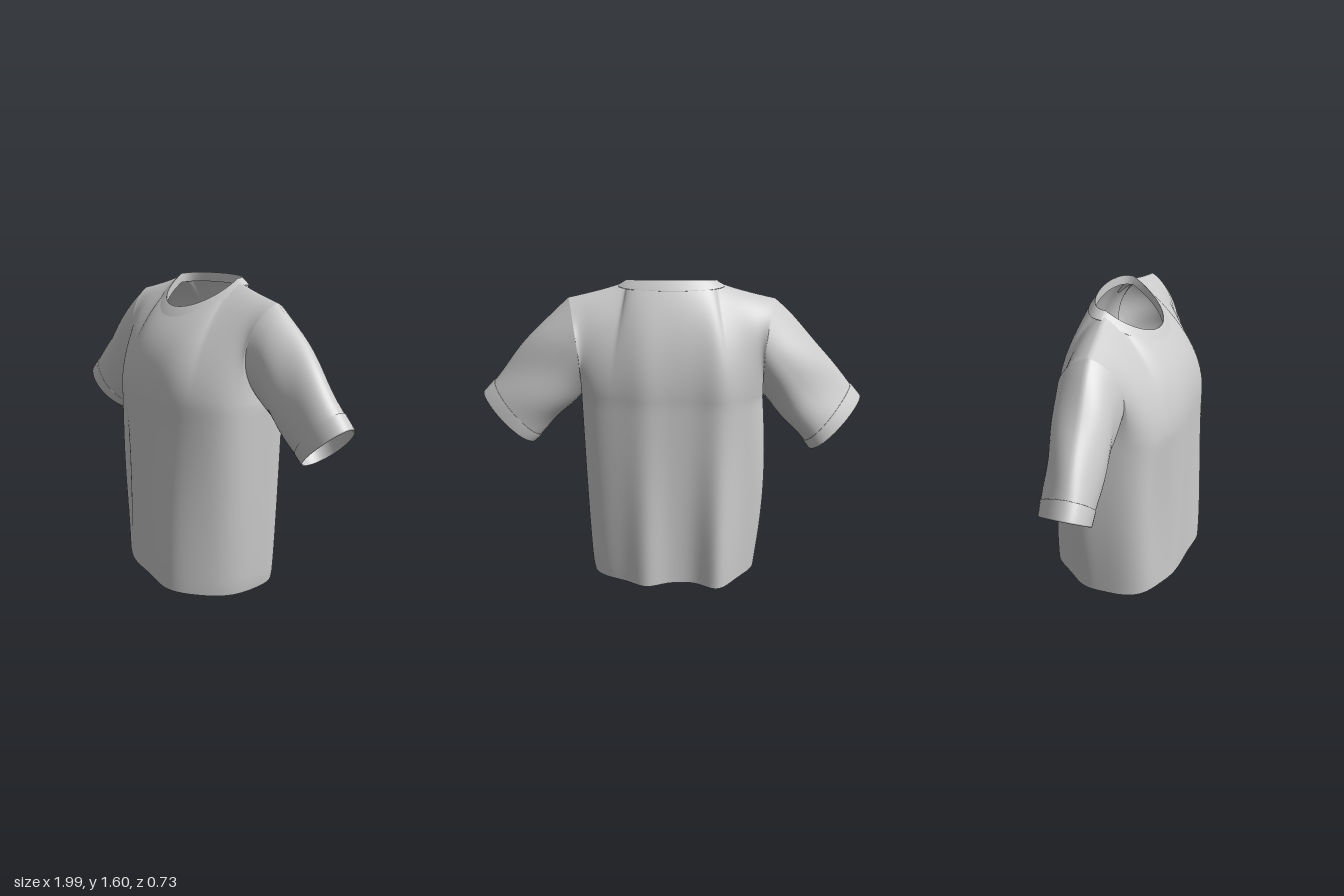
import * as THREE from 'three';
import { mergeGeometries, mergeVertices } from 'three/addons/utils/BufferGeometryUtils.js';

const { lerp, smoothstep } = THREE.MathUtils;
const V = (x, y, z) => new THREE.Vector3(x, y, z);
const bump = (x, centre, width) => Math.exp(-(((x - centre) / width) ** 2));
const CHEST = 1.0;  // height of the underarm
const NECK = 0.43;  // share of a panel's top edge taken by the neckline

// Surface from a rule fn(u, v); its outside is du x dv
function grid(fn, nu, nv) {
  const pos = [], idx = [];
  for (let j = 0; j <= nv; j++)
    for (let i = 0; i <= nu; i++) pos.push(...fn(i / nu, j / nv).toArray());
  for (let j = 0; j < nv; j++)
    for (let i = 0; i < nu; i++) {
      const a = j * (nu + 1) + i, d = a + nu + 1;
      idx.push(a, a + 1, d + 1, a, d + 1, d);
    }
  const g = new THREE.BufferGeometry();
  g.setAttribute('position', new THREE.Float32BufferAttribute(pos, 3));
  g.setIndex(idx);
  return g;
}

// Joins grids along shared edges and smooths them
function cloth(name, ...grids) {
  const g = mergeVertices(mergeGeometries(grids), 1e-4);
  g.computeVertexNormals();
  const m = new THREE.Mesh(g, new THREE.MeshStandardMaterial({ color: 0xcccccc, side: THREE.DoubleSide }));
  m.name = name;
  return m;
}

// Neckline: a = 0 at the middle, +-PI/2 at the shoulders; dir 1 front, -1 back
function neckline(a, dir) {
  const c = Math.max(Math.cos(a), 0), x = 0.22 * Math.sin(a);
  return dir > 0 ? V(x, 1.45 + 0.14 * (1 - c), -0.06 + 0.21 * c)
                 : V(x, 1.59 + 0.01 * c, -0.06 - 0.095 * c ** 0.8);
}

// Top edge of a panel: neckline, then shoulder seam
function topEdge(u, dir) {
  const k = Math.abs(u);
  if (k <= NECK) return neckline((u / NECK) * Math.PI / 2, dir);
  const s = (k - NECK) / (1 - NECK);
  return V(Math.sign(u) * lerp(0.22, 0.52, s), 1.59 - 0.09 * s ** 0.75, lerp(-0.06, -0.04, s));
}

// Hem to underarm, with the hanging folds
function lower(u, s, dir) {
  const a = (u * Math.PI) / 2, c = Math.max(Math.cos(a), 0);
  const half = u > 0
    ? lerp(0.43, 0.465, Math.sqrt(s))
    : lerp(0.46, 0.475, s) + 0.03 * Math.sin(Math.PI * s);
  const x = half * Math.sin(a), fade = 1 - 0.65 * s * s * (3 - 2 * s);
  const fold = dir > 0
    ? 0.055 * bump(x, 0.2, 0.15) * fade - (0.02 + 0.03 * Math.sin(Math.PI * s)) * bump(x, -0.34, 0.1)
    : (0.11 * bump(x, -0.26, 0.1) + 0.05 * bump(x, 0.13, 0.09)) * fade;
  const hem = 0.018 - 0.018 * u + (dir > 0 ? 0.01 * c : 0);
  const depth = (dir > 0 ? 0.362 : 0.265) + fold;
  return V(x, lerp(hem, CHEST, s), -0.03 + dir * depth * c ** lerp(0.64, 0.52, s));
}

// Underarm to neckline and shoulder; u = +-1 is the armhole
function upper(u, t, dir) {
  const p0 = lower(u, 1, dir), p3 = topEdge(u, dir);
  const side = u ** 4, tuck = 1 - 0.07 * side, k = smoothstep(Math.abs(u), 0, 0.8);
  const c1 = V(p0.x * tuck, lerp(1.27, 1.2, side), lerp(p0.z, dir > 0 ? 0.2 : -0.36, side));
  if (dir < 0) c1.z -= 0.025 * (1 - side);
  const c2 = p3.clone().add(V(0, lerp(-0.095, -0.05, k), dir * lerp(0.075, dir > 0 ? 0.13 : 0.15, k)));
  c2.x *= tuck;
  return new THREE.CubicBezierCurve3(p0, c1, c2, p3).getPoint(t);
}

function makeBody() {
  const parts = [];
  for (const dir of [1, -1]) {
    const u = (k) => dir * (2 * k - 1);
    parts.push(grid((k, s) => lower(u(k), s, dir), 100, 24));
    parts.push(grid((k, t) => upper(u(k), t, dir), 100, 28));
  }
  return cloth('body', ...parts);
}

// Ribbed band lying on the cloth: outer edge, rim, and the turned-in inside
function makeCollar() {
  const at = (k, row) => {
    const ang = k * Math.PI * 2, c = Math.cos(ang);
    const p = neckline(Math.atan2(Math.sin(ang), Math.abs(c)), c >= 0 ? 1 : -1);
    const wide = lerp(0.045, c >= 0 ? 0.036 : 0.032, Math.abs(c));
    const drop = lerp(0.026, 0.046, Math.abs(c));
    const [r, y] = [[wide, -drop - 0.003], [wide + 0.002, 0.001 - drop], [0.003, 0.003], [0, 0.002], [0.001, -0.045]][row];
    return p.add(V(r * Math.sin(ang), y, r * c));
  };
  return cloth('collar', grid((k, v) => at(k, Math.round(v * 4)), 72, 4));
}

// Sleeve lofted from the armhole to a tilted cuff that narrows at the top
function makeSleeve(side) {
  const name = side > 0 ? 'left' : 'right';
  const armhole = (k) => (k < 0.5 ? upper(side, 2 * k, 1) : upper(side, 2 - 2 * k, -1));
  const centre = V(side * 0.86, side > 0 ? 0.872 : 0.855, -0.052);
  const tilt = side > 0 ? 0.035 : 0.06;
  const point = (k, s, scale = 1) => {
    const phi = k * Math.PI * 2, up = -Math.cos(phi), front = Math.sin(phi);
    const end = centre.clone().add(V(side * 0.135 * up, 0.121 * up, tilt * up + 0.125 * front * (1 - 0.15 * up)));
    const p = armhole(k).lerp(end, s);
    // fullness at the shoulder cap and soft wrinkles
    const mid = Math.sin(Math.PI * s);
    const r = 0.03 * mid * (1 - s) * Math.max(up, 0) + 0.006 * mid * Math.sin(3 * phi + 7 * s + side);
    p.add(V(side * 0.7 * up * r, 0.7 * up * r, front * r));
    const axis = V(side * 0.47, 1.23, -0.06).lerp(centre, s);
    return p.sub(axis).multiplyScalar(scale).add(axis);
  };
  const turn = (k) => (side > 0 ? 1 - k : k);
  const g = new THREE.Group();
  g.name = name + 'Sleeve';
  g.add(cloth(name + 'SleeveCloth', grid((k, s) => point(turn(k), s * 0.9), 56, 28)));
  // Folded cuff: step, outside, rim, inside
  const rows = [[0.87, 1], [0.872, 1.025], [0.99, 1.03], [1, 1.01], [0.99, 0.98], [0.88, 0.97]];
  g.add(cloth(name + 'Cuff', grid((k, v) => point(turn(k), ...rows[Math.round(v * 5)]), 56, 5)));
  return g;
}

export function createModel() {
  const shirt = new THREE.Group();
  shirt.name = 'shirt';
  shirt.add(makeBody(), makeCollar(), makeSleeve(1), makeSleeve(-1));
  return shirt;
}
